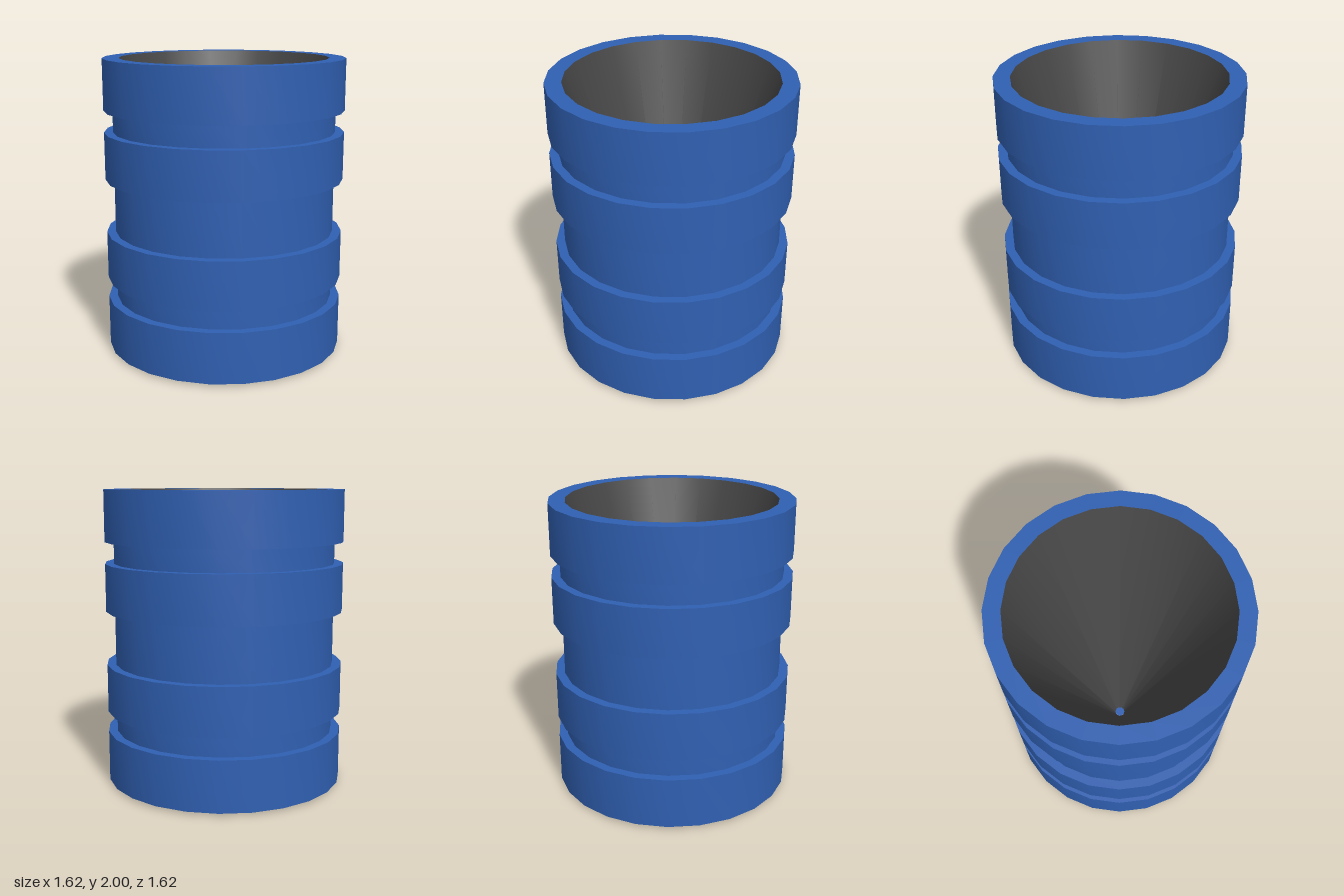
import * as THREE from 'three';
import { toCreasedNormals } from 'three/addons/utils/BufferGeometryUtils.js';

const SIDES = 24;
const OUTER = 0.81, GROOVE = 0.75, INNER = 0.7, TIP = 0.035;
const BOTTOM = 0.015, TOP = 2;

export function createModel() {
  const blue = new THREE.MeshStandardMaterial({ color: 0x3060b2 });
  blue.name = 'blue shell';
  const dark = new THREE.MeshStandardMaterial({ color: 0x464646, side: THREE.DoubleSide });
  dark.name = 'dark funnel';

  const model = new THREE.Group();
  model.name = 'groovedFunnelTube';
  const add = (name, geometry, material) => {
    const mesh = new THREE.Mesh(geometry, material);
    mesh.name = name;
    model.add(mesh);
    return mesh;
  };
  const lathe = (points) => toCreasedNormals(
    new THREE.LatheGeometry(points.map(([r, y]) => new THREE.Vector2(r, y)), SIDES),
    Math.PI / 5,
  );

  // Tube wall: outside upwards with three grooves, then back down the bore
  const profile = [[INNER, BOTTOM], [OUTER, BOTTOM]];
  for (const [low, high] of [[0.36, 0.5], [0.825, 1.19], [1.51, 1.655]]) {
    profile.push([OUTER, low], [GROOVE, low], [GROOVE, high], [OUTER, high]);
  }
  profile.push([OUTER, TOP], [INNER, TOP], [INNER, BOTTOM]);
  add('groovedTube', lathe(profile), blue);

  // Funnel hanging from the top rim down to the narrow tip
  add('funnel', lathe([[TIP, 0], [INNER, TOP]]), dark);

  // Small plug closing the tip
  const plug = add('tipPlug', new THREE.CylinderGeometry(TIP, TIP * 0.98, 0.006, SIDES), blue);
  plug.position.y = 0.003;

  return model;
}
